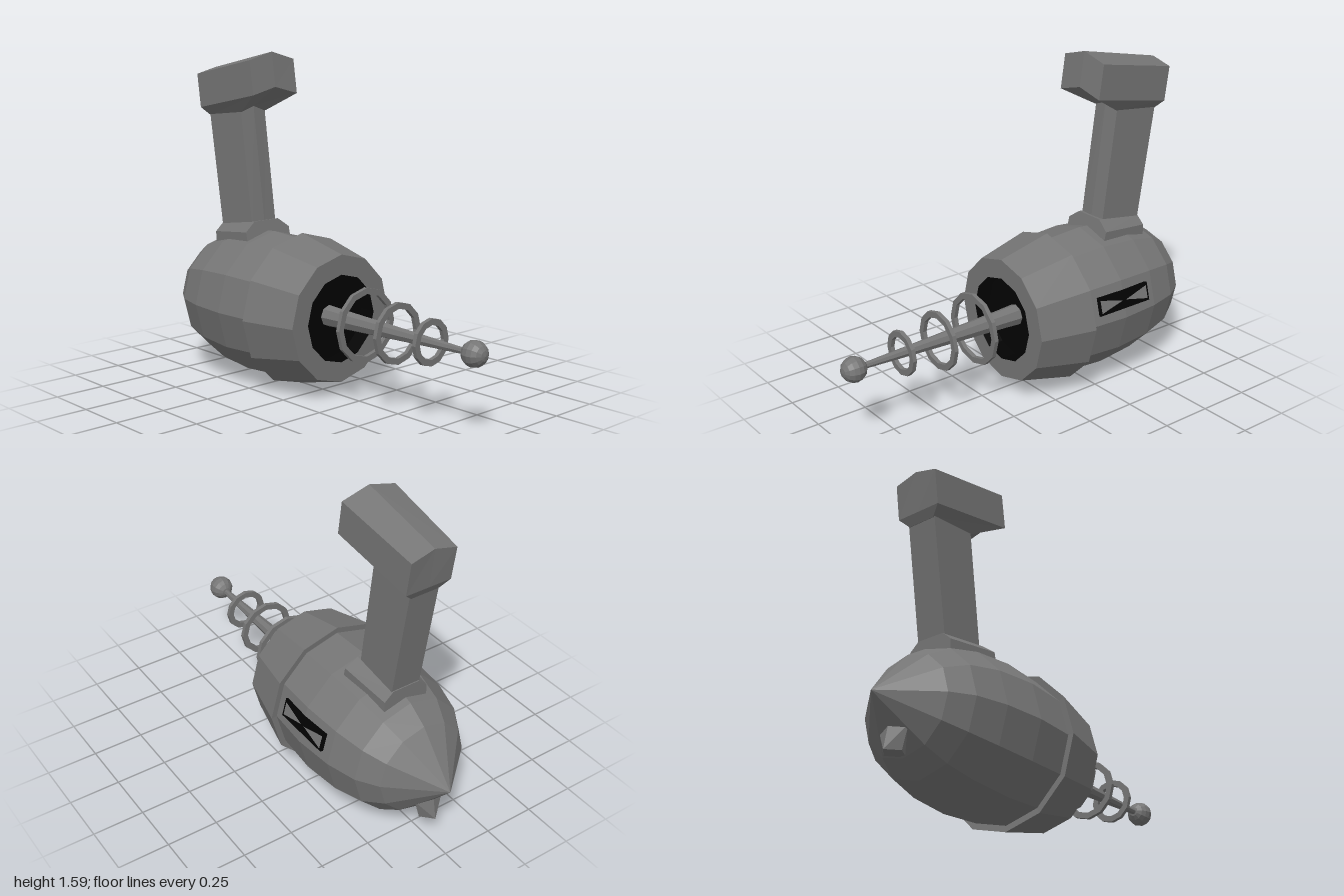
import * as THREE from 'three';
import { ConvexGeometry } from 'three/addons/geometries/ConvexGeometry.js';

const AXIS = 0.37; // height of the barrel axis
const grey = new THREE.MeshStandardMaterial({ color: 0x757575, flatShading: true });
const black = new THREE.MeshStandardMaterial({ color: 0x020202, flatShading: true });

function part(name, geometry, material = grey) {
  const mesh = new THREE.Mesh(geometry, material);
  mesh.name = name;
  return mesh;
}

// Turned shape around the z axis, from [z, radius] pairs
function turned(profile, sides) {
  const points = profile.map(([z, r]) => new THREE.Vector2(r, z));
  return new THREE.LatheGeometry(points, sides).rotateX(Math.PI / 2).translate(0, AXIS, 0);
}

// Six-cornered ring; front and back are [halfWidth, y, z, ridgeLift, ridgePush]
function ring(front, back) {
  const edge = ([w, y, z, lift = 0, push = 0]) => [[w, y, z], [0, y + lift, z + push], [-w, y, z]];
  return [...edge(front), ...edge(back).reverse()];
}

// Closed solid through rings listed from bottom to top
function loft(rings) {
  const n = 6;
  const index = [];
  for (let i = 0; i < rings.length - 1; i++) {
    for (let j = 0; j < n; j++) {
      const a = i * n + j, b = i * n + (j + 1) % n;
      index.push(a, a + n, b, b, a + n, b + n);
    }
  }
  const top = (rings.length - 1) * n;
  for (const [a, b, c, d] of [[0, 1, 4, 5], [1, 2, 3, 4]]) {
    index.push(a, b, c, a, c, d);
    index.push(top + a, top + c, top + b, top + a, top + d, top + c);
  }
  const g = new THREE.BufferGeometry();
  g.setAttribute('position', new THREE.Float32BufferAttribute(rings.flat(2), 3));
  g.setIndex(index);
  g.computeVertexNormals();
  return g;
}

export function createModel() {
  const model = new THREE.Group();
  model.name = 'rayBlaster';

  // Pointed body, then flared sleeve with an open, dark muzzle
  model.add(part('body', turned([
    [-1, 0], [-0.8, 0.23], [-0.7, 0.295], [-0.55, 0.335], [-0.35, 0.353], [-0.14, 0.34],
  ], 12)));
  model.add(part('sleeve', turned([
    [-0.14, 0.32], [-0.145, 0.37], [0.13, 0.305], [0.13, 0.21],
  ], 12)));
  model.add(part('muzzleBore', turned([[0.13, 0.21], [0.045, 0.21], [0.045, 0]], 12), black));

  // Antenna rod, floating rings and ball tip
  model.add(part('antennaRod', turned([
    [0.03, 0], [0.03, 0.053], [0.13, 0.047], [0.9, 0.014],
  ], 8)));
  for (const [z, outer] of [[0.29, 0.176], [0.49, 0.143], [0.69, 0.107]]) {
    const inner = outer - 0.029;
    model.add(part('antennaRing', turned([
      [z - 0.01, inner], [z - 0.01, outer], [z + 0.01, outer], [z + 0.01, inner], [z - 0.01, inner],
    ], 12)));
  }
  const ball = part('antennaBall', new THREE.SphereGeometry(0.06, 12, 8).rotateX(Math.PI / 2));
  ball.position.set(0, AXIS, 0.94);
  model.add(ball);

  // Dark side slot with two wedge-shaped walls, set on one body facet
  const slot = new THREE.Group();
  slot.name = 'sideSlot';
  const plate = part('slotRecess', new THREE.BoxGeometry(0.03, 0.09, 0.31), black);
  plate.position.x = 0.328;
  slot.add(plate);
  for (const s of [-1, 1]) {
    const wedge = new THREE.Shape([
      new THREE.Vector2(0.145 * s, 0.03), new THREE.Vector2(0.145 * s, -0.035), new THREE.Vector2(0.01 * s, -0.005),
    ]);
    const wall = part('slotWall', new THREE.ShapeGeometry(wedge).rotateY(Math.PI / 2));
    wall.position.x = 0.3445;
    slot.add(wall);
  }
  slot.position.set(0, AXIS, -0.35);
  slot.rotation.z = Math.PI / 12;
  model.add(slot);

  // Raked handle: base, column and head with a tapered underside
  model.add(part('handleBase', loft([
    ring([0.137, 0.66, -0.385], [0.115, 0.63, -0.665]),
    ring([0.137, 0.725, -0.4], [0.115, 0.695, -0.665]),
    ring([0.075, 0.77, -0.41], [0.07, 0.735, -0.665]),
  ])));
  model.add(part('handleColumn', loft([
    ring([0.075, 0.72, -0.425, 0, 0.006], [0.075, 0.7, -0.655]),
    ring([0.075, 1.31, -0.507, 0.02, 0.006], [0.075, 1.275, -0.75]),
  ])));
  model.add(part('handleHead', loft([
    ring([0.075, 1.3, -0.5, 0.025], [0.07, 1.268, -0.752]),
    ring([0.137, 1.39, -0.335, 0.035], [0.115, 1.31, -0.775]),
    ring([0.137, 1.555, -0.36, 0.037], [0.115, 1.475, -0.8, 0.03]),
  ])));

  // Small sight fin under the tail
  const corners = [
    [0, 0.145, -0.915], [0.05, 0.145, -0.86], [-0.05, 0.145, -0.86], [0, 0.15, -0.78],
    [0.08, 0.25, -0.86], [-0.08, 0.25, -0.86], [0, 0.265, -0.892],
  ];
  model.add(part('sightFin', new ConvexGeometry(corners.map((c) => new THREE.Vector3(...c)))));

  return model;
}
